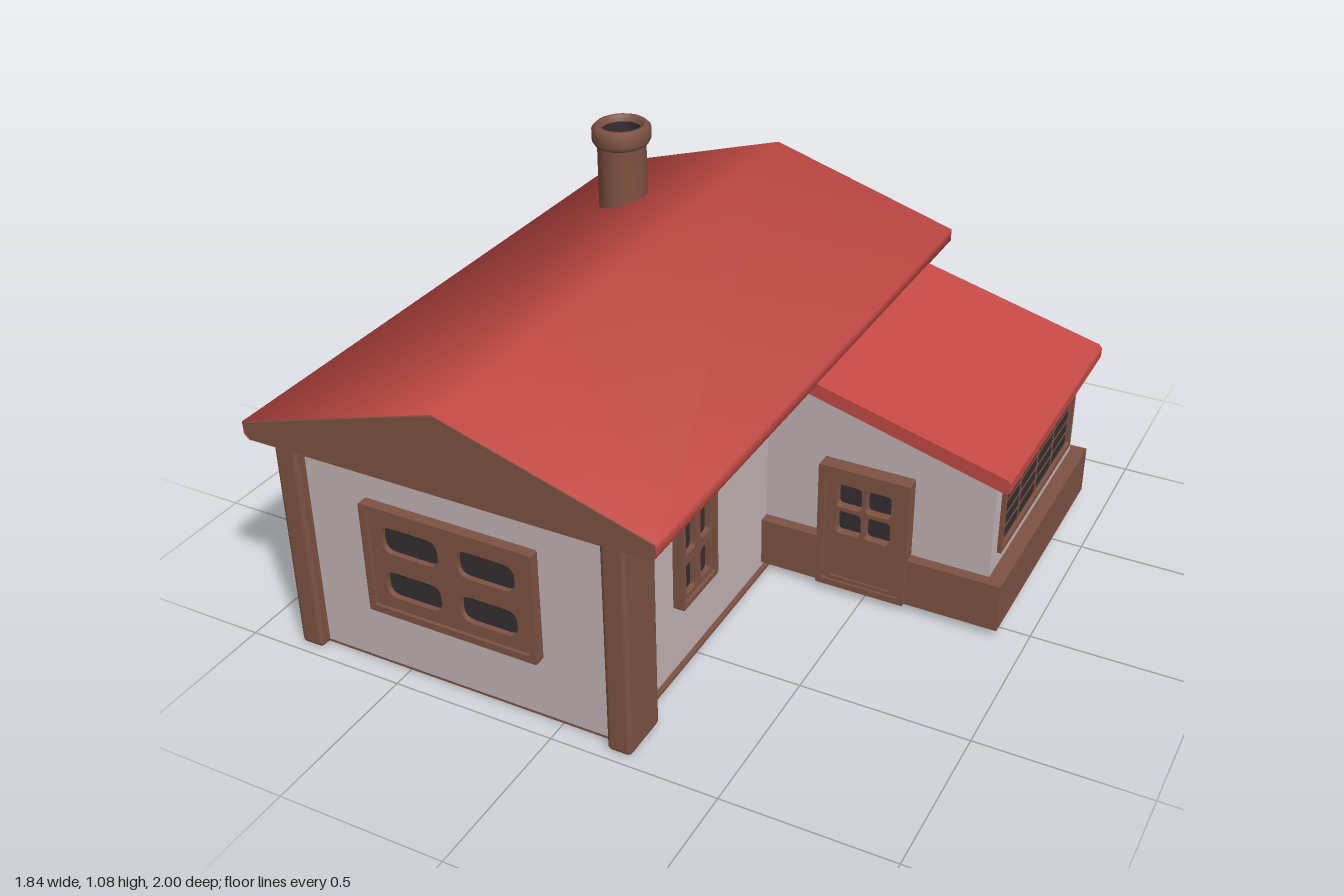
import * as THREE from 'three';
import { RoundedBoxGeometry } from 'three/addons/geometries/RoundedBoxGeometry.js';

const mat = (name, color, side = THREE.FrontSide) => {
  const m = new THREE.MeshStandardMaterial({ color, side });
  m.name = name;
  return m;
};

export function createModel() {
  const red = mat('roof red', 0xc44a45, THREE.DoubleSide);
  const wall = mat('plaster', 0xc4b5b6);
  const wood = mat('brown wood', 0x7e5343);
  const dark = mat('dark glass', 0x352e30, THREE.DoubleSide);
  const model = new THREE.Group();
  model.name = 'house';

  const add = (parent, name, geometry, material, x = 0, y = 0, z = 0) => {
    const m = new THREE.Mesh(geometry, material);
    m.name = name;
    m.position.set(x, y, z);
    parent.add(m);
    return m;
  };
  // Box given by its limits; r rounds the edges
  const box = (name, material, x0, x1, y0, y1, z0, z1, r = 0) => {
    const s = [x1 - x0, y1 - y0, z1 - z0];
    const g = r ? new RoundedBoxGeometry(...s, 2, r) : new THREE.BoxGeometry(...s);
    return add(model, name, g, material, (x0 + x1) / 2, (y0 + y1) / 2, (z0 + z1) / 2);
  };
  // Outline in x and y, extruded from z0 to z1
  const prism = (name, material, pts, z0, z1) => {
    const shape = new THREE.Shape(pts.map(p => new THREE.Vector2(...p)));
    const g = new THREE.ExtrudeGeometry(shape, { depth: z1 - z0, bevelEnabled: false });
    return add(model, name, g, material, 0, 0, z0);
  };
  // Smooth sheet along a profile, with soft normals across the ridge and toward both ends
  const sheet = (name, pts) => {
    const p = pts.map(q => new THREE.Vector2(...q));
    const dir = i => p[i + 1] && p[i] ? p[i + 1].clone().sub(p[i]).normalize() : new THREE.Vector2();
    const pos = [], nor = [], idx = [];
    p.forEach(({ x, y }, i) => {
      const t = dir(i).add(dir(i - 1)).normalize();
      for (const z of [-1, 1]) {
        pos.push(x, y, z);
        nor.push(...new THREE.Vector3(t.y, -t.x, z * 0.3).normalize());
      }
      const a = 2 * i;
      if (i) idx.push(a - 2, a, a - 1, a, a + 1, a - 1);
    });
    const g = new THREE.BufferGeometry();
    g.setAttribute('position', new THREE.Float32BufferAttribute(pos, 3));
    g.setAttribute('normal', new THREE.Float32BufferAttribute(nor, 3));
    g.setIndex(idx);
    return add(model, name, g, red);
  };
  // Rectangle with rounded corners
  const rect = (path, x, y, w, h, r) => {
    const a = w / 2, b = h / 2;
    path.moveTo(x - a + r, y - b);
    path.lineTo(x + a - r, y - b);
    path.quadraticCurveTo(x + a, y - b, x + a, y - b + r);
    path.lineTo(x + a, y + b - r);
    path.quadraticCurveTo(x + a, y + b, x + a - r, y + b);
    path.lineTo(x - a + r, y + b);
    path.quadraticCurveTo(x - a, y + b, x - a, y + b - r);
    path.lineTo(x - a, y - b + r);
    path.quadraticCurveTo(x - a, y - b, x - a + r, y - b);
    return path;
  };
  const panel = (w, h, holes, depth) => {
    const shape = rect(new THREE.Shape(), 0, 0, w, h, 0.006);
    holes.forEach(o => shape.holes.push(rect(new THREE.Path(), ...o)));
    return new THREE.ExtrudeGeometry(shape, { depth, bevelEnabled: false, curveSegments: 4 });
  };
  // Grid of panes centred on (0, cy)
  const panes = (cols, rows, w, h, gapX, gapY, r, cy = 0) => {
    const out = [];
    for (let i = 0; i < cols; i++) for (let j = 0; j < rows; j++)
      out.push([(i - (cols - 1) / 2) * (w + gapX), cy + (j - (rows - 1) / 2) * (h + gapY), w, h, r]);
    return out;
  };
  // Framed opening: raised rim, lattice and glass, facing local +z
  const opening = (name, w, h, rim, holes, depth, pos, turn = 0) => {
    const g = new THREE.Group();
    g.name = name;
    g.position.set(...pos);
    g.rotation.y = turn;
    add(g, 'rim', panel(w, h, [[0, 0, w - 2 * rim, h - 2 * rim, 0.006]], depth), wood);
    add(g, 'lattice', panel(w - 2 * rim, h - 2 * rim, holes, depth - 0.01), wood);
    add(g, 'glass', new THREE.PlaneGeometry(w - 2 * rim, h - 2 * rim), dark, 0, 0, depth * 0.25);
    model.add(g);
    return g;
  };
  const door = (pos, turn) => {
    const g = opening('door', 0.28, 0.415, 0.02, panes(2, 2, 0.078, 0.078, 0.013, 0.013, 0.014, 0.065), 0.05, pos, turn);
    add(g, 'innerRim', panel(0.215, 0.37, [[0, 0, 0.19, 0.345, 0.004]], 0.046), wood);
  };

  // Main house body and floor, set in behind the corner posts
  box('mainWalls', wall, -0.79, 0.165, 0.012, 0.69, -0.935, 0.935);
  box('floor', wood, -0.805, 0.18, 0.004, 0.012, -0.935, 0.935);
  for (const [x0, x1] of [[-0.853, -0.78], [0.155, 0.228]])
    for (const [z0, z1] of [[0.81, 0.97], [-0.96, -0.805]])
      box('cornerPost', wood, x0, x1, 0, 0.7, z0, z1, 0.014);

  // Main roof: timber gable body under a red covering
  prism('gable', wood, [[-0.9, 0.682], [0.315, 0.682], [0.332, 0.697], [0.332, 0.731],
    [-0.293, 0.921], [-0.917, 0.731], [-0.917, 0.697]], -0.999, 0.999);
  sheet('mainRoof', [[-0.9, 0.68], [-0.92, 0.696], [-0.92, 0.735], [-0.293, 0.925],
    [0.335, 0.735], [0.335, 0.696], [0.315, 0.68]].reverse());

  // Hollow chimney, slightly longer in z
  const profile = [[0.063, 0.8], [0.063, 1.06], [0.07, 1.08], [0.082, 1.08], [0.094, 1.068],
    [0.094, 1.03], [0.085, 1.015], [0.078, 1.012], [0.078, 0.72]].map(p => new THREE.Vector2(...p));
  const tube = new THREE.LatheGeometry(profile.slice(1).reverse(), 24);
  const flue = new THREE.LatheGeometry(profile.slice(0, 2), 24);
  const bottom = new THREE.CircleGeometry(0.064, 24).rotateX(-Math.PI / 2);
  for (const [n, g, m, y] of [['chimney', tube, wood, 0], ['flue', flue, dark, 0], ['flueBottom', bottom, dark, 0.95]])
    add(model, n, g, m, -0.645, y, -0.565).scale.z = 1.08;

  // Side annex with plinth and lean-to roof
  prism('annexWalls', wall, [[0.15, 0.1], [0.868, 0.1], [0.868, 0.525], [0.15, 0.712]], -0.748, 0.02);
  box('annexPlinth', wood, 0.15, 0.914, 0.026, 0.18, -0.778, 0.055);
  prism('annexRoof', red, [[0.19, 0.695], [0.908, 0.5], [0.918, 0.506], [0.918, 0.536],
    [0.908, 0.547], [0.19, 0.738]], -0.8, 0.068);

  // Windows
  opening('frontWindow', 0.54, 0.35, 0.022, panes(2, 2, 0.18, 0.085, 0.06, 0.06, 0.035), 0.035, [-0.32, 0.38, 0.932]);
  opening('sideWindow', 0.205, 0.29, 0.015, panes(2, 2, 0.056, 0.1, 0.032, 0.03, 0.014), 0.035, [0.163, 0.37, 0.508], Math.PI / 2);
  opening('annexSideWindow', 0.66, 0.21, 0.016, panes(4, 4, 0.14, 0.034, 0.014, 0.01, 0.01), 0.014, [0.866, 0.335, -0.362], Math.PI / 2);
  opening('annexBackWindow', 0.54, 0.18, 0.016, panes(2, 2, 0.2, 0.042, 0.035, 0.024, 0.012), 0.027, [0.54, 0.333, -0.746], Math.PI);

  // Doors
  door([0.49, 0.233, 0.018], 0);
  door([-0.788, 0.233, -0.565], -Math.PI / 2);
  return model;
}
